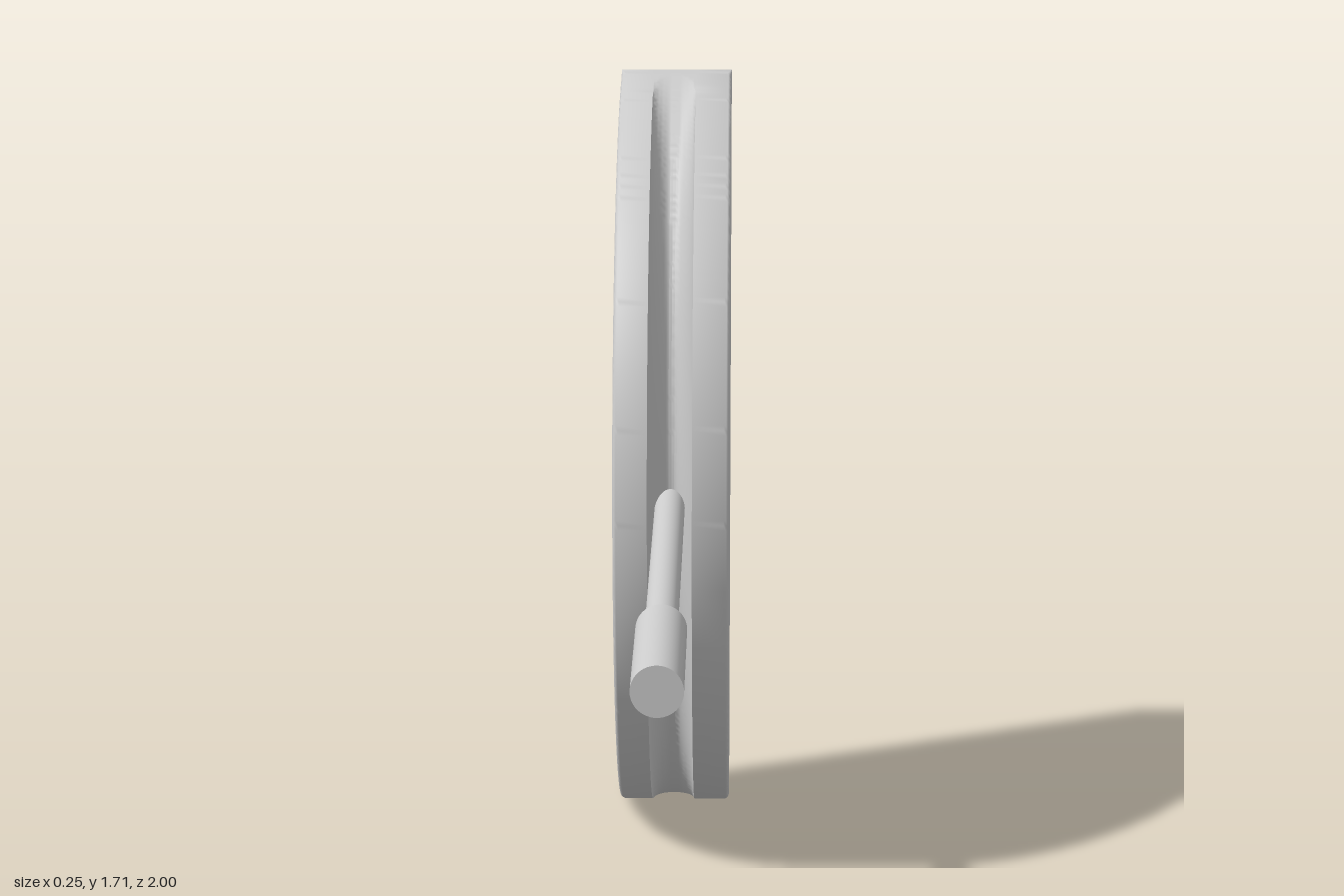
import * as THREE from 'three';
import { toCreasedNormals } from 'three/addons/utils/BufferGeometryUtils.js';

const MID_Y = 0.858, BACK_Z = -1, HALF_W = 0.125;
const SLOT_W = 0.048, SLOT_X = -0.003;

// One horizontal loop of the body at rim angle a: back edge, rim, slot, rim, back edge
function bodyLoop(a) {
  const rimY = MID_Y + 0.857 * Math.sin(a);
  const rimZ = Math.max(BACK_Z, -1.06 + 0.9 * Math.cos(a));
  const c = Math.max(0, (rimZ - BACK_Z) / 0.84);       // 1 at the nose, 0 at the back
  const r = 0.012 * Math.min(1, c / 0.05);             // edge rounding
  const depth = 0.29 * c - 0.017;                      // slot depth on the centre line
  const lift = 0.02 + 0.16 * c;                        // how far the floor curves up to the walls

  // Rounded outer edge, from the side face onto the rim
  const edge = [];
  for (let k = 0; k <= 4; k++) {
    const t = (k / 4) * Math.PI / 2, inset = r * (1 - Math.sin(t));
    edge.push([HALF_W - r * (1 - Math.cos(t)),
      rimY - inset * Math.sin(a),
      Math.max(BACK_Z, rimZ - inset * Math.cos(a))]);
  }
  const left = [[HALF_W, edge[0][1], BACK_Z], ...edge];
  const loop = left.map(([x, y, z]) => [-x, y, z]);

  // Slot with straight walls and a U-shaped floor
  loop.push([SLOT_X - SLOT_W, rimY, rimZ]);
  for (let k = 0; k <= 24; k++) {
    const s = Math.sin((k / 24 - 0.5) * Math.PI);
    const d = Math.max(0, depth - lift * (1 - Math.sqrt(Math.max(0, 1 - s * s))));
    loop.push([SLOT_X + SLOT_W * s, rimY, rimZ - d]);
  }
  loop.push([SLOT_X + SLOT_W, rimY, rimZ]);
  return loop.concat(left.reverse());
}

// Half-disc solid: loops stacked from bottom to top
function bodyGeometry() {
  const rows = 240, end = Math.acos(0.06 / 0.9);
  const pos = [], index = [];
  let n = 0;
  for (let i = 0; i <= rows; i++) {
    const loop = bodyLoop(-end + (2 * end * i) / rows);
    n = loop.length;
    loop.forEach((p) => pos.push(...p));
  }
  for (let i = 0; i < rows; i++) {
    for (let j = 0; j < n; j++) {
      const k = (j + 1) % n;
      const p = i * n + j, q = i * n + k;
      index.push(p, q, p + n, q, q + n, p + n);
    }
  }
  const g = new THREE.BufferGeometry();
  g.setAttribute('position', new THREE.Float32BufferAttribute(pos, 3));
  g.setIndex(index);
  return toCreasedNormals(g, 0.6);
}

export function createModel() {
  const group = new THREE.Group();
  const material = new THREE.MeshStandardMaterial({ color: 0xcccccc });

  const add = (name, geometry) => {
    const mesh = new THREE.Mesh(geometry, material);
    mesh.name = name;
    group.add(mesh);
    return mesh;
  };

  // Cylinder lying along z
  const bar = (name, radius, z0, z1) => {
    const g = new THREE.CylinderGeometry(radius, radius, z1 - z0, 48).rotateX(Math.PI / 2);
    add(name, g).position.set(-0.006, 0.838, (z0 + z1) / 2);
  };

  add('slottedHalfDisc', bodyGeometry());
  bar('rod', 0.033, -0.5, 0.6);
  bar('handle', 0.051, 0.575, 1);
  return group;
}
